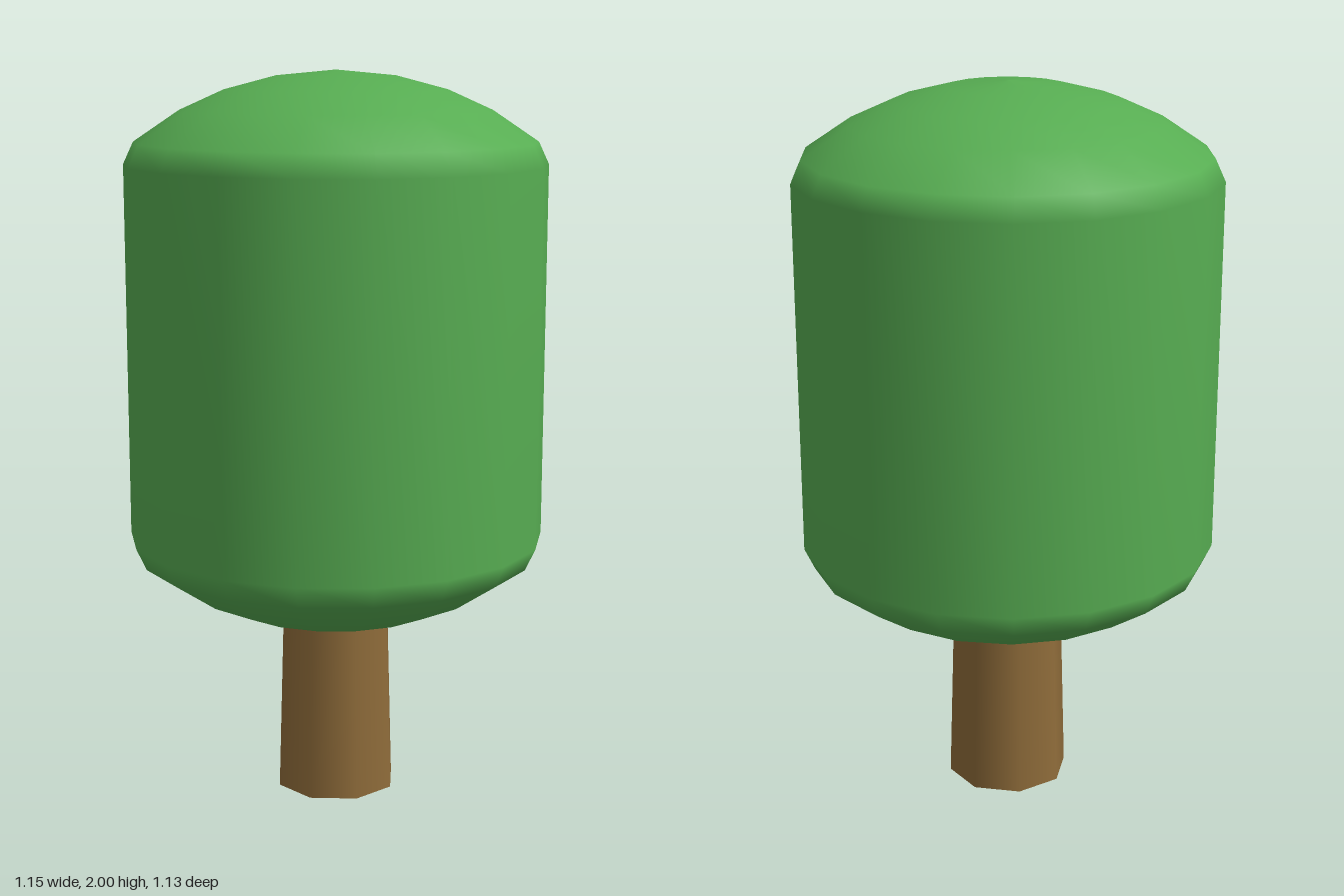
import * as THREE from 'three';

export function createModel() {
  const model = new THREE.Group();
  model.name = 'tree';

  const leafGreen = new THREE.MeshStandardMaterial({ color: 0x57ad52 });
  leafGreen.name = 'leaf green';
  const barkBrown = new THREE.MeshStandardMaterial({ color: 0x8f6c3a, side: THREE.DoubleSide });
  barkBrown.name = 'bark brown';

  // Crown: upright barrel with a shallow dome above and its mirror below
  const middle = 1.24;
  const dome = [[0, 0.76], [0.16, 0.745], [0.3, 0.708], [0.42, 0.654], [0.545, 0.57], [0.573, 0.51]];
  const lower = dome.map(([r, h]) => new THREE.Vector2(r, middle - h));
  const upper = dome.map(([r, h]) => new THREE.Vector2(r, middle + h)).reverse();
  const crown = new THREE.Mesh(
    new THREE.LatheGeometry([...lower, ...upper], 18, Math.PI / 2),
    leafGreen
  );
  crown.name = 'crown';

  // Trunk: slightly tapered eight-sided tube, open at the foot
  const trunkHeight = 0.52;
  const trunk = new THREE.Mesh(
    new THREE.CylinderGeometry(0.155, 0.17, trunkHeight, 8, 1, true),
    barkBrown
  );
  trunk.position.y = trunkHeight / 2;
  trunk.name = 'trunk';

  model.add(crown, trunk);
  return model;
}
